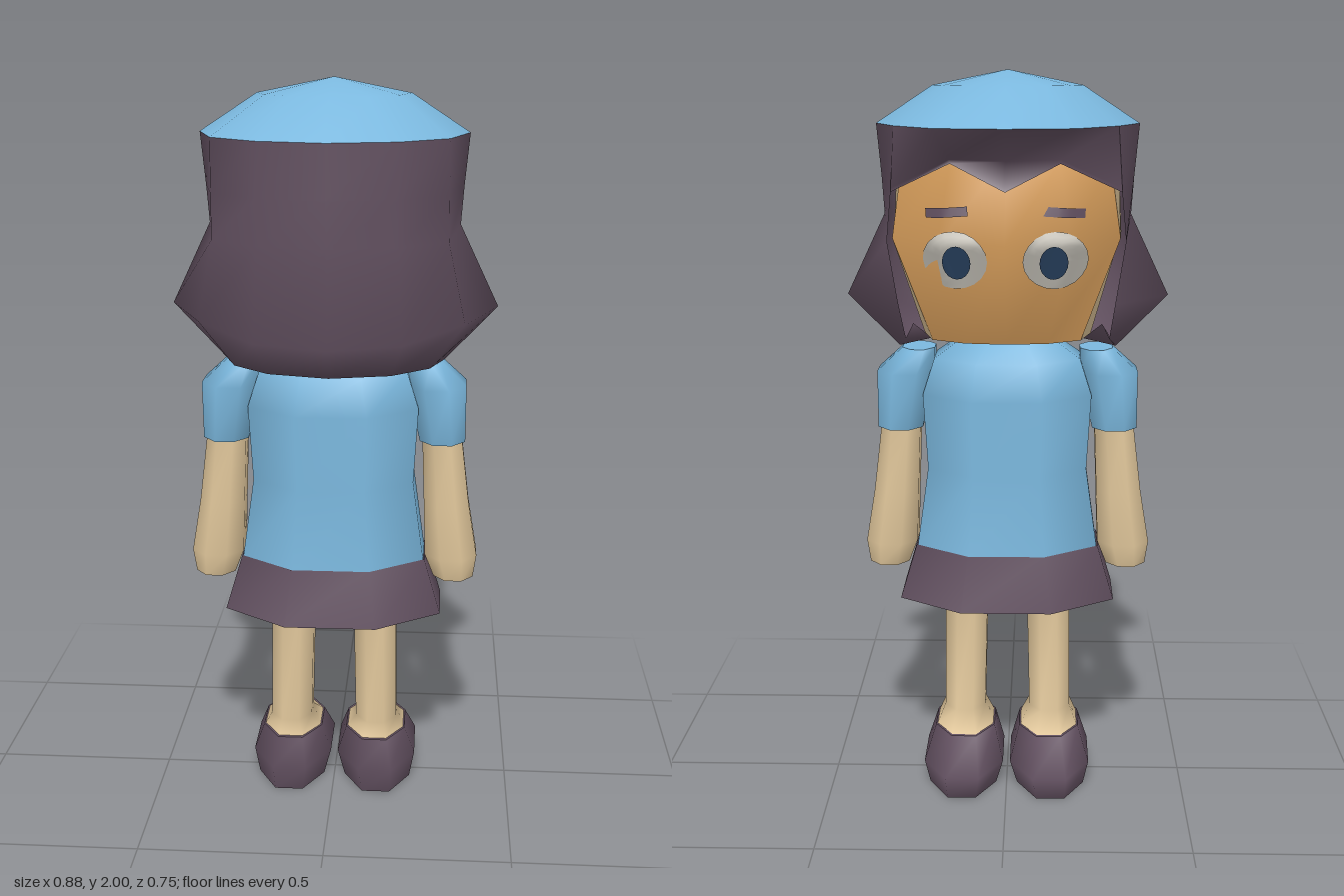
import * as THREE from 'three';

const material = (name, color, side = THREE.FrontSide) => {
  const m = new THREE.MeshStandardMaterial({ color, side });
  m.name = name;
  return m;
};

// Surface through rings of [x, y, z], listed bottom to top, each counter-clockwise from above.
function loft(rings, { open = false, bottom = false, top = false } = {}) {
  const n = rings[0].length;
  const pos = rings.flat(2);
  const index = [];
  for (let i = 0; i < rings.length - 1; i++) {
    for (let j = 0; j < (open ? n - 1 : n); j++) {
      const a = i * n + j, b = i * n + (j + 1) % n;
      index.push(a, b, b + n, a, b + n, a + n);
    }
  }
  const addCap = (ring, up) => {
    const start = pos.length / 3;
    pos.push(...ring.flat());
    for (let j = 1; j < n - 1; j++) {
      index.push(start, start + (up ? j : j + 1), start + (up ? j + 1 : j));
    }
  };
  if (bottom) addCap(rings[0], false);
  if (top) addCap(rings[rings.length - 1], true);
  const g = new THREE.BufferGeometry();
  g.setAttribute('position', new THREE.Float32BufferAttribute(pos, 3));
  g.setIndex(index);
  g.computeVertexNormals();
  return g;
}

// Eight-sided oval ring; rx and rz measure to the flats.
function oval([y, cx, cz, rx, rz], side = 1) {
  const k = 1 / Math.cos(Math.PI / 8);
  return Array.from({ length: 8 }, (_, j) => {
    const t = (j + 0.5) * Math.PI / 4;
    return [cx * side + rx * k * Math.cos(t), y, cz - rz * k * Math.sin(t)];
  });
}

// Half a head ring runs from front to back on the +x side. These read it as a full ring or an arc.
const mirrored = (half, k) => {
  const [x, y, z] = half[Math.abs(6 - k % 12)];
  return [k % 12 <= 6 ? x : -x, y, z];
};
const arc = (half, from, to) =>
  Array.from({ length: to - from + 1 }, (_, i) => mirrored(half, from + i));
const level = (y, points) => points.map(([x, z]) => [x, y, z]);

const HEAD = [
  level(1.29, [[0, -0.15], [0.11, -0.135], [0.2, -0.08], [0.23, 0.04], [0.19, 0.12], [0.11, 0.17], [0, 0.19]]),
  level(1.57, [[0, -0.315], [0.17, -0.26], [0.3, -0.13], [0.31, 0.04], [0.27, 0.19], [0.155, 0.29], [0, 0.33]]),
  level(1.78, [[0, -0.235], [0.14, -0.235], [0.27, -0.13], [0.3, 0.04], [0.26, 0.19], [0.15, 0.28], [0, 0.32]]),
];
const RIM = level(1.86, [[0, -0.375], [0.177, -0.333], [0.29, -0.157], [0.355, 0.04], [0.302, 0.225], [0.177, 0.329], [0, 0.374]]);

// Depth of the face surface at a given x and y.
function faceZ(x, y) {
  const i = y < 1.57 ? 0 : 1;
  const t = (y - HEAD[i][0][1]) / (HEAD[i + 1][0][1] - HEAD[i][0][1]);
  const p = HEAD[i].map((a, j) => a.map((v, c) => v + (HEAD[i + 1][j][c] - v) * t));
  const j = Math.abs(x) < p[1][0] ? 0 : 1;
  return p[j][2] + (p[j + 1][2] - p[j][2]) * (Math.abs(x) - p[j][0]) / (p[j + 1][0] - p[j][0]);
}

// Wraps a flat shape onto the face, turned to look toward -z.
function onFace(geometry, cx, cy, lift) {
  const p = geometry.attributes.position;
  for (let i = 0; i < p.count; i++) {
    const x = cx - p.getX(i), y = cy + p.getY(i);
    p.setXYZ(i, x, y, faceZ(x, y) - lift);
  }
  geometry.computeVertexNormals();
  return geometry;
}

export function createModel() {
  const model = new THREE.Group();
  model.name = 'figure';
  const blue = material('sky blue', 0x7bb8de);
  const plum = material('dark plum', 0x635161, THREE.DoubleSide);
  const skin = material('pale skin', 0xe2c89c);
  const face = material('warm face', 0xdfa45f);
  const white = material('eye white', 0xd8d4ca);
  const navy = material('iris blue', 0x2f4b6d);

  const add = (name, geometry, mat) => {
    const mesh = new THREE.Mesh(geometry, mat);
    mesh.name = name;
    model.add(mesh);
  };
  const addOvals = (name, rows, mat, caps, side) =>
    add(name, loft(rows.map(r => oval(r, side)), caps), mat);

  // Torso, skirt and neck
  addOvals('shirt', [
    [0.69, 0, 0.028, 0.252, 0.183], [0.92, 0, 0.03, 0.22, 0.165], [1.13, 0, 0.03, 0.232, 0.18],
    [1.23, 0, 0.03, 0.2, 0.16], [1.28, 0, 0.03, 0.13, 0.11],
  ], blue, { top: true });
  addOvals('skirt', [[0.545, 0, 0.03, 0.3, 0.215], [0.7, 0, 0.028, 0.254, 0.185]], plum, { bottom: true });
  addOvals('neck', [[1.24, 0, 0.02, 0.1, 0.09], [1.32, 0, 0.02, 0.1, 0.09]], face);

  for (const side of [1, -1]) {
    const label = side > 0 ? 'left' : 'right';
    // Arms with short sleeves
    addOvals(label + 'Sleeve', [
      [1.03, 0.298, 0.03, 0.062, 0.08], [1.19, 0.28, 0.035, 0.08, 0.106], [1.255, 0.245, 0.03, 0.045, 0.07],
    ], blue, { top: true, bottom: true }, side);
    addOvals(label + 'Arm', [
      [0.635, 0.335, 0.03, 0.055, 0.07], [0.7, 0.327, 0.03, 0.072, 0.085],
      [0.85, 0.312, 0.03, 0.062, 0.08], [1.04, 0.297, 0.03, 0.054, 0.075],
    ], skin, { bottom: true }, side);

    // Legs and shoes
    addOvals(label + 'Leg', [
      [0.16, 0.12, 0, 0.08, 0.13], [0.2, 0.122, 0.03, 0.058, 0.082], [0.56, 0.116, 0.03, 0.06, 0.08],
    ], skin, {}, side);
    addOvals(label + 'Shoe', [
      [0, 0.125, -0.027, 0.095, 0.175], [0.075, 0.122, -0.037, 0.112, 0.202], [0.16, 0.12, 0, 0.084, 0.14],
    ], plum, { bottom: true, top: true }, side);

    // Eyes and brows
    const eye = (rx, ry) => new THREE.RingGeometry(0.001, 1, 20, 6).scale(rx, ry, 1);
    add(label + 'EyeWhite', onFace(eye(0.085, 0.077), side * 0.13, 1.525, 0.005), white);
    add(label + 'Iris', onFace(eye(0.037, 0.045), side * 0.125, 1.52, 0.009), navy);
    add(label + 'Brow', onFace(new THREE.PlaneGeometry(0.11, 0.024, 8, 1).rotateZ(side * 0.08), side * 0.15, 1.648, 0.006), plum);
  }

  // Head: warm face in front, pale skin behind
  add('face', loft(HEAD.map(r => arc(r, 4, 8)), { open: true, bottom: true }), face);
  add('headBack', loft(HEAD.map(r => arc(r, 8, 16)), { open: true, bottom: true }), skin);

  // Hair around the sides and back, flaring at the cheeks (first two entries unused)
  const sideHair = [
    [[0.26, 1.32, 0.01], [0.21, 1.275, 0.04], [0.17, 1.275, 0.12], [0.1, 1.275, 0.16], [0, 1.275, 0.18]],
    [[0.28, 1.28, 0], [0.3, 1.255, 0.035], [0.26, 1.255, 0.15], [0.16, 1.255, 0.24], [0, 1.255, 0.28]],
    [[0.29, 1.39, -0.1], [0.44, 1.4, 0.025], [0.35, 1.38, 0.18], [0.19, 1.35, 0.315], [0, 1.34, 0.343]],
    [[0.315, 1.56, -0.125], [0.335, 1.62, 0.03], [0.304, 1.6, 0.22], [0.177, 1.6, 0.325], [0, 1.6, 0.365]],
    [[0.302, 1.69, -0.132], [0.342, 1.72, 0.035], [0.303, 1.72, 0.222], [0.177, 1.72, 0.328], [0, 1.72, 0.37]],
    RIM.slice(2),
  ];
  add('hair', loft(sideHair.map(r => arc([null, null, ...r], 8, 16)), { open: true }), plum);

  // Fringe: overhanging brim with a point at the middle of the forehead
  const fringe = [
    [[0, 1.7, -0.277], [0.14, 1.77, -0.25], [0.302, 1.69, -0.132]],
    [[0, 1.775, -0.247], [0.142, 1.78, -0.25], [0.302, 1.7, -0.133]],
    RIM.slice(0, 3),
  ];
  add('fringe', loft(fringe.map(r => arc(r, 4, 8)), { open: true }), plum);

  // Domed cap on top
  const domeRing = ([y, s]) =>
    arc(RIM.map(([x, , z]) => [x * s, y, 0.04 + (z - 0.04) * s]), 0, 11);
  add('cap', loft([[1.86, 1], [1.96, 0.57], [2, 0.01]].map(domeRing), { top: true }), blue);

  return model;
}
